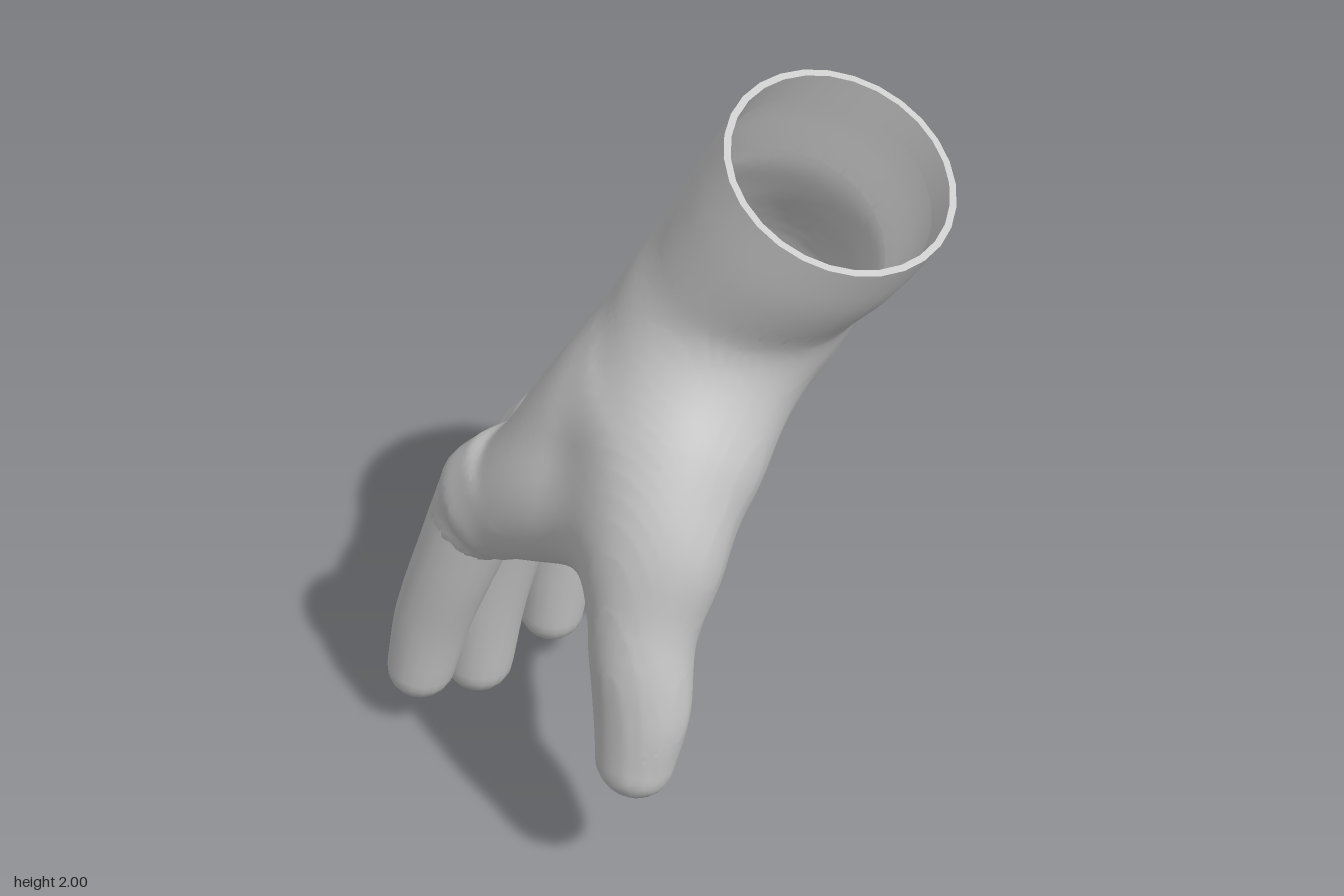
import * as THREE from 'three';

const material = new THREE.MeshStandardMaterial({ color: 0xcccccc, side: THREE.DoubleSide });
const V3 = (x, y, z) => new THREE.Vector3(x, y, z);
const STEPS = 40;

// Stations: x, y, z, radius across the bend, radius along z, section power (2 = ellipse)
const PALM = [
  [0.415, 1.87, -0.11, 0.26, 0.305, 2], [0.345, 1.75, -0.10, 0.255, 0.305, 2],
  [0.26, 1.62, -0.09, 0.235, 0.30, 2], [0.18, 1.48, -0.09, 0.235, 0.32, 2.1],
  [0.10, 1.33, -0.095, 0.23, 0.37, 2.2], [-0.01, 1.16, -0.075, 0.22, 0.405, 2.3],
  [-0.13, 1.00, -0.065, 0.197, 0.41, 2.35], [-0.235, 0.88, -0.06, 0.163, 0.392, 2.35],
  [-0.32, 0.795, -0.055, 0.122, 0.36, 2.3],
];
const THUMB = [
  [0.195, 1.40, 0.02, 0.16, 0.16, 2], [0.225, 1.22, 0.17, 0.18, 0.195, 2],
  [0.225, 1.02, 0.28, 0.15, 0.163, 2], [0.253, 0.80, 0.36, 0.125, 0.117, 2],
  [0.268, 0.62, 0.38, 0.117, 0.105, 2], [0.265, 0.475, 0.40, 0.096, 0.088, 2],
];
const THUMB_WEB = [
  [0.24, 1.03, 0.29, 0.14, 0.10, 2], [0.05, 0.98, 0.26, 0.13, 0.105, 2],
  [-0.12, 0.91, 0.23, 0.125, 0.10, 2], [-0.29, 0.83, 0.21, 0.11, 0.09, 2],
];
const FINGERS = {
  indexFinger: [
    [-0.29, 0.93, 0.20, 0.08, 0.085, 2], [-0.355, 0.81, 0.21, 0.112, 0.10, 2],
    [-0.445, 0.58, 0.225, 0.103, 0.098, 2], [-0.52, 0.38, 0.23, 0.096, 0.095, 2],
    [-0.565, 0.20, 0.235, 0.084, 0.088, 2]],
  middleFinger: [
    [-0.30, 0.95, 0.02, 0.08, 0.08, 2], [-0.36, 0.83, 0.02, 0.112, 0.097, 2],
    [-0.455, 0.55, 0.025, 0.102, 0.097, 2], [-0.525, 0.30, 0.03, 0.097, 0.097, 2],
    [-0.563, 0.092, 0.03, 0.089, 0.089, 2]],
  ringFinger: [
    [-0.30, 0.93, -0.16, 0.08, 0.075, 2], [-0.36, 0.81, -0.16, 0.108, 0.09, 2],
    [-0.42, 0.55, -0.16, 0.097, 0.088, 2], [-0.462, 0.32, -0.165, 0.091, 0.089, 2],
    [-0.485, 0.17, -0.165, 0.084, 0.083, 2]],
  littleFinger: [
    [-0.29, 0.91, -0.32, 0.075, 0.07, 2], [-0.345, 0.79, -0.335, 0.102, 0.083, 2],
    [-0.372, 0.58, -0.345, 0.091, 0.08, 2], [-0.393, 0.42, -0.333, 0.085, 0.079, 2],
    [-0.395, 0.305, -0.325, 0.079, 0.075, 2]],
};

// Limb: evenly sampled centre line, tangents and section sizes, up to fraction `end`.
function limb(stations, end = 1, cap = 0) {
  const path = new THREE.CatmullRomCurve3(stations.map(([x, y, z]) => V3(x, y, z)));
  const size = new THREE.CatmullRomCurve3(stations.map(([, , , u, v, p]) => V3(u, v, p)));
  const samples = [];
  for (let i = 0; i <= STEPS; i++) {
    const t = i / STEPS * end;
    samples.push({ c: path.getPoint(t), tangent: path.getTangent(t), size: size.getPoint(t) });
  }
  return { samples, cap };
}

// Centre, section size and axes at t in 0..1
function frameAt({ samples }, t) {
  const i = Math.min(Math.floor(t * STEPS), STEPS - 1), f = t * STEPS - i;
  const mix = (key) => samples[i][key].clone().lerp(samples[i + 1][key], f);
  const tangent = mix('tangent').normalize();
  const u = V3(-tangent.y, tangent.x, 0).normalize();
  return { c: mix('c'), size: mix('size'), tangent, u, v: tangent.clone().cross(u) };
}

// Parameter of the centre-line point closest to p
function closest({ samples }, p) {
  let best = Infinity, t = 0;
  for (let i = 0; i < STEPS; i++) {
    const a = samples[i].c, b = samples[i + 1].c;
    const dx = b.x - a.x, dy = b.y - a.y, dz = b.z - a.z;
    const px = p.x - a.x, py = p.y - a.y, pz = p.z - a.z;
    const along = (px * dx + py * dy + pz * dz) / (dx * dx + dy * dy + dz * dz);
    const f = Math.min(1, Math.max(0, along));
    const d = (px - f * dx) ** 2 + (py - f * dy) ** 2 + (pz - f * dz) ** 2;
    if (d < best) { best = d; t = (i + f) / STEPS; }
  }
  return t;
}

// Approximate signed distance from p to the limb's surface
function distance(part, p) {
  const t = closest(part, p);
  const { c, size, tangent, u, v } = frameAt(part, t);
  const rel = c.negate().add(p);
  const w = t === 0 || t === 1 ? rel.dot(tangent) / (part.cap || size.x) : 0;
  const sum = [rel.dot(u) / size.x, rel.dot(v) / size.y, w]
    .reduce((s, k) => s + Math.abs(k) ** size.z, 0);
  return (sum ** (1 / size.z) - 1) * Math.min(size.x, size.y);
}

function blend(a, b, k) {
  const h = Math.max(k - Math.abs(a - b), 0) / k;
  return Math.min(a, b) - h * h * k / 4;
}

function makeMesh(name, points, index) {
  const geometry = new THREE.BufferGeometry().setFromPoints(points);
  geometry.setIndex(index);
  geometry.computeVertexNormals();
  const mesh = new THREE.Mesh(geometry, material);
  mesh.name = name;
  return mesh;
}

// Surface net: one point per grid cell the surface crosses, one quad per crossed grid edge.
function surfaceNet(name, field, keep, min, dims, step) {
  const stride = [1, dims[0], dims[0] * dims[1]];
  const total = stride[2] * dims[2];
  const coords = (n) => [n % dims[0], Math.floor(n / stride[1]) % dims[1], Math.floor(n / stride[2])];
  const position = (n) => V3(...coords(n)).multiplyScalar(step).add(min);
  const values = Float32Array.from({ length: total }, (_, n) => field(position(n)));
  const corners = [0, 1, 2, 3, 4, 5, 6, 7];
  const cell = new Int32Array(total).fill(-1);
  const points = [], index = [];
  for (let n = 0; n < total; n++) {
    if (coords(n).some((c, a) => c >= dims[a] - 1)) continue;
    const at = corners.map((k) => n + (k & 1) + (k >> 1 & 1) * stride[1] + (k >> 2) * stride[2]);
    const sum = V3(0, 0, 0);
    let count = 0;
    for (const k of corners) {
      for (const bit of [1, 2, 4]) {
        if (k & bit) continue;
        const a = at[k], b = at[k | bit];
        if (values[a] < 0 === values[b] < 0) continue;
        sum.add(position(a).lerp(position(b), values[a] / (values[a] - values[b])));
        count++;
      }
    }
    if (!count || !keep(sum.divideScalar(count))) continue;
    cell[n] = points.push(sum) - 1;
  }
  for (let n = stride[2] + stride[1] + 1; n < total - stride[2]; n++) {
    for (let a = 0; a < 3; a++) {
      if (values[n] < 0 === values[n + stride[a]] < 0) continue;
      const sb = stride[(a + 1) % 3], sc = stride[(a + 2) % 3];
      const q = [n, n - sb, n - sb - sc, n - sc].map((c) => cell[c]);
      if (q.includes(-1)) continue;
      if (values[n] >= 0) q.reverse();
      index.push(q[0], q[1], q[2], q[0], q[2], q[3]);
    }
  }
  return makeMesh(name, points, index);
}

// Ring of a limb at t, optionally scaled and pushed along the limb
function ring(part, t, sides, scale = 1, push = 0) {
  const { c, size, tangent, u, v } = frameAt(part, t);
  c.addScaledVector(tangent, push * size.x);
  return Array.from({ length: sides }, (_, j) => {
    const a = j / sides * Math.PI * 2;
    return c.clone().addScaledVector(u, Math.cos(a) * size.x * scale)
      .addScaledVector(v, Math.sin(a) * size.y * scale);
  });
}

function loft(name, rings) {
  const n = rings[0].length, index = [];
  for (let i = 0; i < rings.length - 1; i++) {
    for (let j = 0; j < n; j++) {
      const a = i * n + j, b = i * n + (j + 1) % n;
      index.push(a, b, b + n, a, b + n, a + n);
    }
  }
  return makeMesh(name, rings.flat(), index);
}

export function createModel() {
  const hand = new THREE.Group();
  hand.name = 'hand';
  const palm = limb(PALM, 1, 0.04), thumb = limb(THUMB), web = limb(THUMB_WEB);
  const knuckles = Object.values(FINGERS).map((stations) => limb(stations, 0.36, 0.03));

  // Palm, thumb, web and knuckles as one smooth skin, open at the wrist
  const skin = (p) => {
    const body = blend(blend(distance(palm, p), distance(thumb, p), 0.12), distance(web, p), 0.1);
    return Math.min(...knuckles.map((knuckle) => blend(body, distance(knuckle, p), 0.08)));
  };
  hand.add(surfaceNet('palmAndThumb', skin, (p) => closest(palm, p) > 0.2,
    V3(-0.62, 0.34, -0.56), [63, 79, 57], 0.02));

  // Wrist tube with a folded-in rim
  const steps = [0, 1, 2, 3, 4, 5, 6];
  hand.add(loft('wrist', steps.map((i) => ring(palm, i * 0.04, 28))));
  hand.add(loft('cuffRim', [ring(palm, 0, 28, 0.94), ring(palm, 0, 28)]));
  hand.add(loft('cuffFold', [ring(palm, 0.07, 28, 0.94), ring(palm, 0, 28, 0.94)]));

  // Fingers with blunt domed tips, each starting inside its knuckle
  for (const [name, stations] of Object.entries(FINGERS)) {
    const finger = limb(stations), rings = [];
    for (let i = 0; i <= 18; i++) rings.push(ring(finger, i / 18, 18));
    for (let k = 1; k <= 6; k++) {
      const a = k / 6 * Math.PI / 2;
      rings.push(ring(finger, 1, 18, Math.max(0.001, Math.cos(a) ** 0.8), Math.sin(a)));
    }
    hand.add(loft(name, rings));
  }
  return hand;
}
